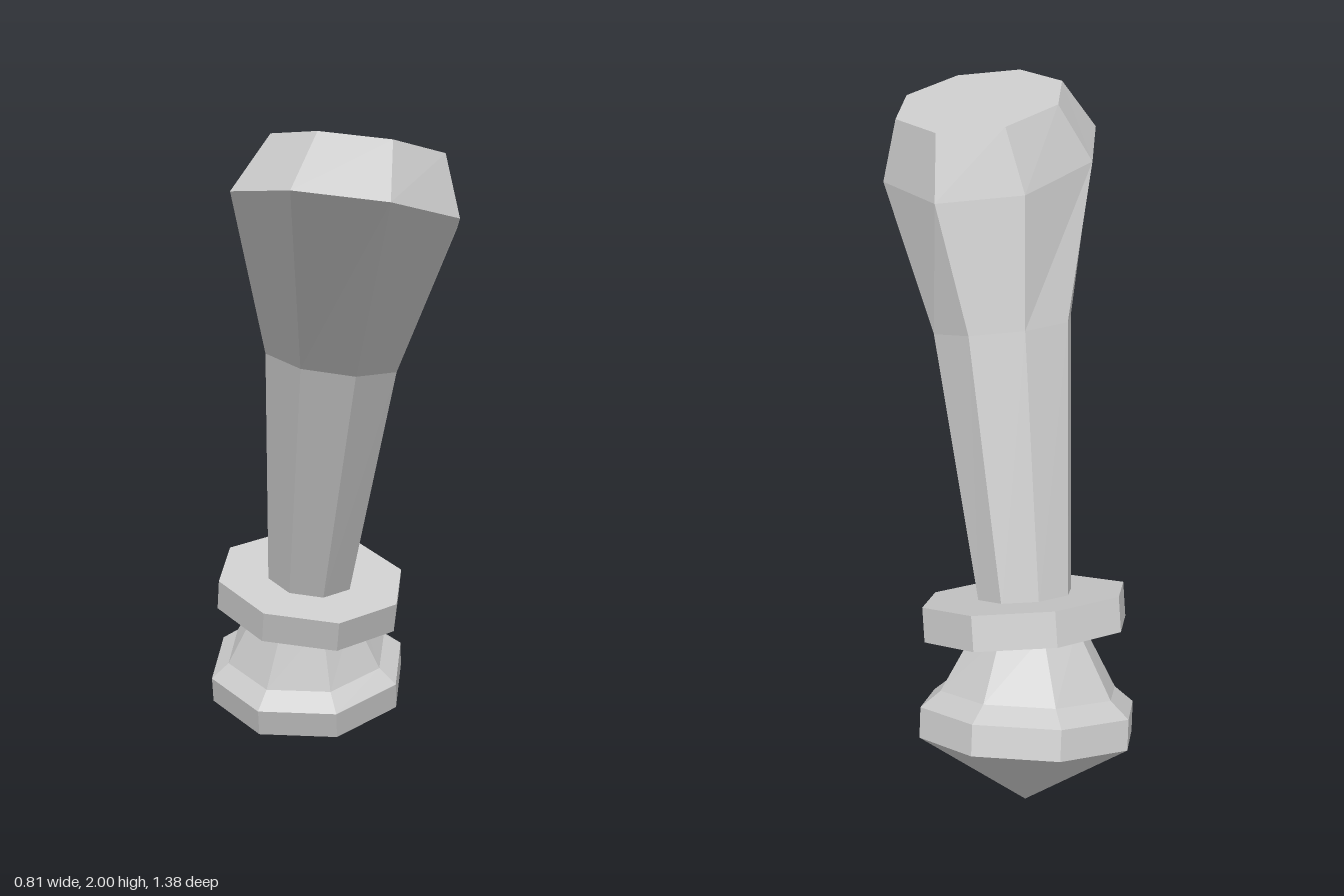
import * as THREE from 'three';

const SIDES = 8;

// Octagonal ring: centre c, half-width vectors u (towards the left side) and v (towards the front)
function ring(c, u, v) {
  const centre = new THREE.Vector3(...c);
  const points = [];
  for (let i = 0; i < SIDES; i++) {
    const t = ((i + 0.5) / SIDES) * Math.PI * 2;
    const r = 1 / Math.cos(Math.PI / SIDES);
    points.push(centre.clone()
      .addScaledVector(new THREE.Vector3(...u), Math.cos(t) * r)
      .addScaledVector(new THREE.Vector3(...v), Math.sin(t) * r));
  }
  return { centre, points };
}

// Faceted solid through rings listed from bottom to top, closed at both ends
function loft(name, rings, material) {
  const positions = [];
  const tri = (a, b, c) => {
    const area = b.clone().sub(a).cross(c.clone().sub(a)).length();
    if (area > 1e-7) for (const p of [a, b, c]) positions.push(p.x, p.y, p.z);
  };
  const bottom = rings[0];
  const top = rings[rings.length - 1];
  for (let i = 0; i < SIDES; i++) {
    const j = (i + 1) % SIDES;
    for (let k = 0; k < rings.length - 1; k++) {
      const lo = rings[k].points;
      const hi = rings[k + 1].points;
      tri(lo[i], hi[i], lo[j]);
      tri(hi[i], hi[j], lo[j]);
    }
    tri(bottom.centre, bottom.points[i], bottom.points[j]);
    tri(top.centre, top.points[j], top.points[i]);
  }
  const geometry = new THREE.BufferGeometry();
  geometry.setAttribute('position', new THREE.Float32BufferAttribute(positions, 3));
  geometry.computeVertexNormals();
  const mesh = new THREE.Mesh(geometry, material);
  mesh.name = name;
  return mesh;
}

export function createModel() {
  const group = new THREE.Group();
  group.name = 'handle';
  const material = new THREE.MeshStandardMaterial({ color: 0xcccccc, flatShading: true });

  // Pointed pommel with a straight rim and a tapering neck
  const pommelRing = (c, s) => ring(c, [0.301 * s, 0, 0], [0, -0.082 * s, 0.289 * s]);
  group.add(loft('pommel', [
    pommelRing([-0.103, 0, -0.45], 0),
    pommelRing([-0.103, 0.188, -0.4], 1),
    pommelRing([-0.103, 0.273, -0.374], 1),
    pommelRing([-0.103, 0.318, -0.362], 0.82),
    ring([-0.093, 0.5, -0.315], [0.15, -0.015, 0], [0, -0.036, 0.145]),
  ], material));

  // Flat collar, slightly rolled to one side
  const collarRing = (c) => ring(c, [0.283, -0.031, -0.005], [0, -0.066, 0.272]);
  group.add(loft('collar', [
    collarRing([-0.09, 0.49, -0.318]),
    collarRing([-0.08, 0.587, -0.29]),
  ], material));

  // Grip that bends forward and flares into a bevelled end
  group.add(loft('grip', [
    ring([-0.083, 0.575, -0.29], [0.13, -0.014, 0], [0, -0.03, 0.125]),
    ring([0.014, 1.335, -0.04], [0.195, -0.025, 0], [0.006, -0.025, 0.185]),
    ring([0.086, 1.782, 0.265], [0.3075, -0.035, -0.011], [0.0215, 0.055, 0.418]),
    ring([0.114, 1.95, 0.214], [0.238, -0.026, 0.002], [0.0165, 0.038, 0.312]),
  ], material));

  return group;
}
